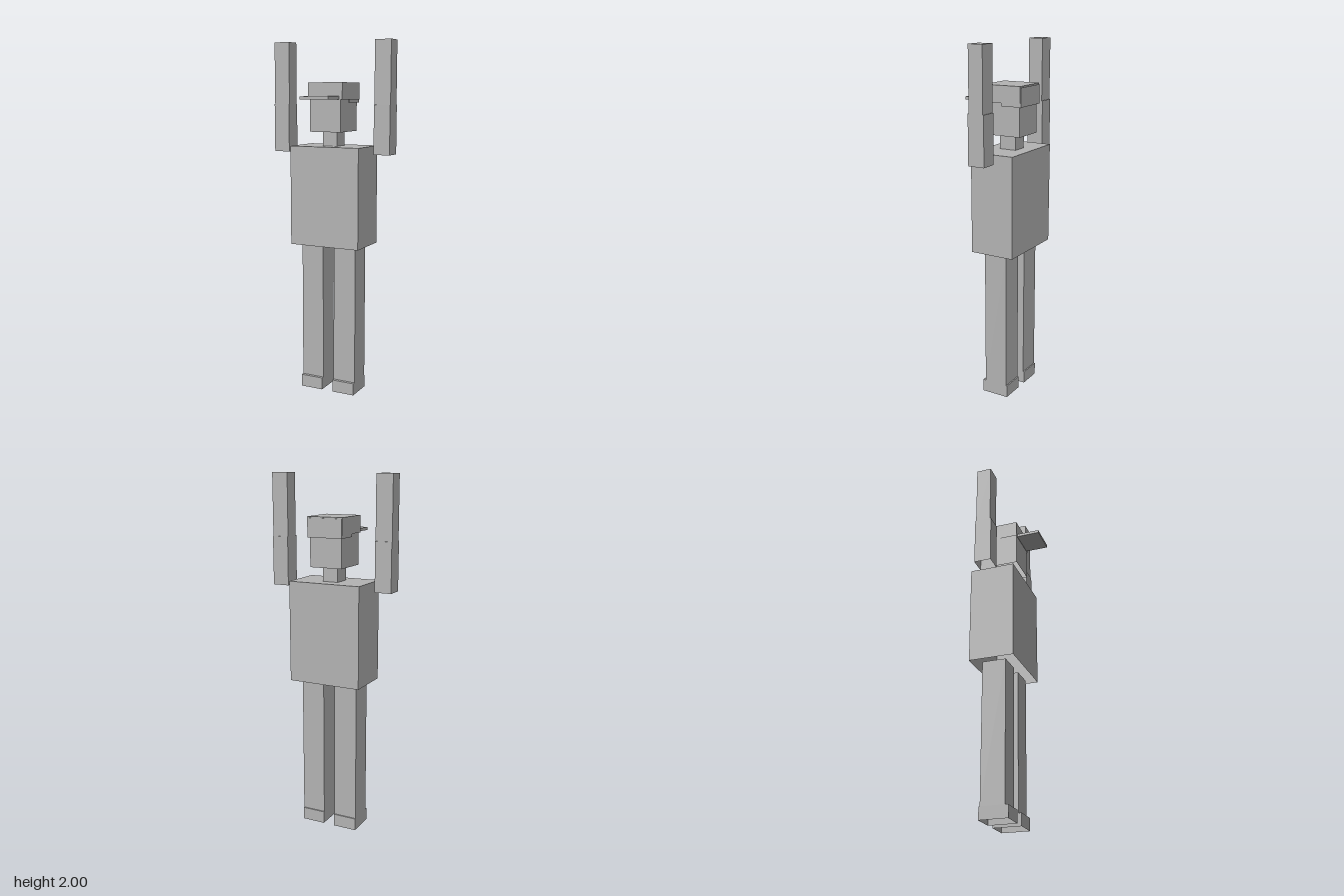
import * as THREE from 'three';

// Box given by its limits; open = no underside (hollow shell)
function boxPart(name, material, [x0, x1], [y0, y1], [z0, z1], open = true) {
  const geometry = new THREE.BoxGeometry(x1 - x0, y1 - y0, z1 - z0);
  if (open) {
    const index = Array.from(geometry.index.array);
    index.splice(18, 6); // bottom face
    geometry.setIndex(index);
    geometry.clearGroups();
  }
  geometry.translate((x0 + x1) / 2, (y0 + y1) / 2, (z0 + z1) / 2);
  const mesh = new THREE.Mesh(geometry, material);
  mesh.name = name;
  return mesh;
}

export function createModel() {
  const model = new THREE.Group();
  model.name = 'blockFigure';
  const grey = new THREE.MeshStandardMaterial({ color: 0xb4b4b4, side: THREE.DoubleSide });
  grey.name = 'plainGrey';
  const add = (...args) => model.add(boxPart(args[0], grey, ...args.slice(1)));

  // Torso, neck and head
  add('torso', [-0.21, 0.21], [0.863, 1.424], [-0.185, 0.07]);
  add('neck', [-0.047, 0.042], [1.424, 1.505], [-0.108, -0.011]);
  add('head', [-0.095, 0.092], [1.505, 1.76], [-0.16, 0.05]);

  // Cap: crown, slightly lower back band and flat peak
  add('capCrown', [-0.105, 0.104], [1.682, 1.775], [-0.168, 0.052]);
  add('capBackBand', [-0.102, 0.1], [1.665, 1.768], [-0.173, -0.05]);
  add('capPeak', [-0.087, 0.085], [1.684, 1.7], [0, 0.183], false);

  // Raised arms and legs, mirrored
  for (const [side, s] of [['left', 1], ['right', -1]]) {
    const span = (a, b) => (s > 0 ? [a, b] : [-b, -a]);
    const arm = span(0.264, 0.358);
    add(side + 'Forearm', arm, [1.655, 2], [-0.1, -0.016]);
    add(side + 'UpperArm', arm, [1.385, 1.655], [-0.105, -0.01]);
    const leg = span(0.034, 0.168);
    add(side + 'Leg', leg, [0.07, 0.863], [-0.123, 0.012]);
    add(side + 'Shoe', leg, [0, 0.07], [-0.13, 0.03]);
  }
  return model;
}
